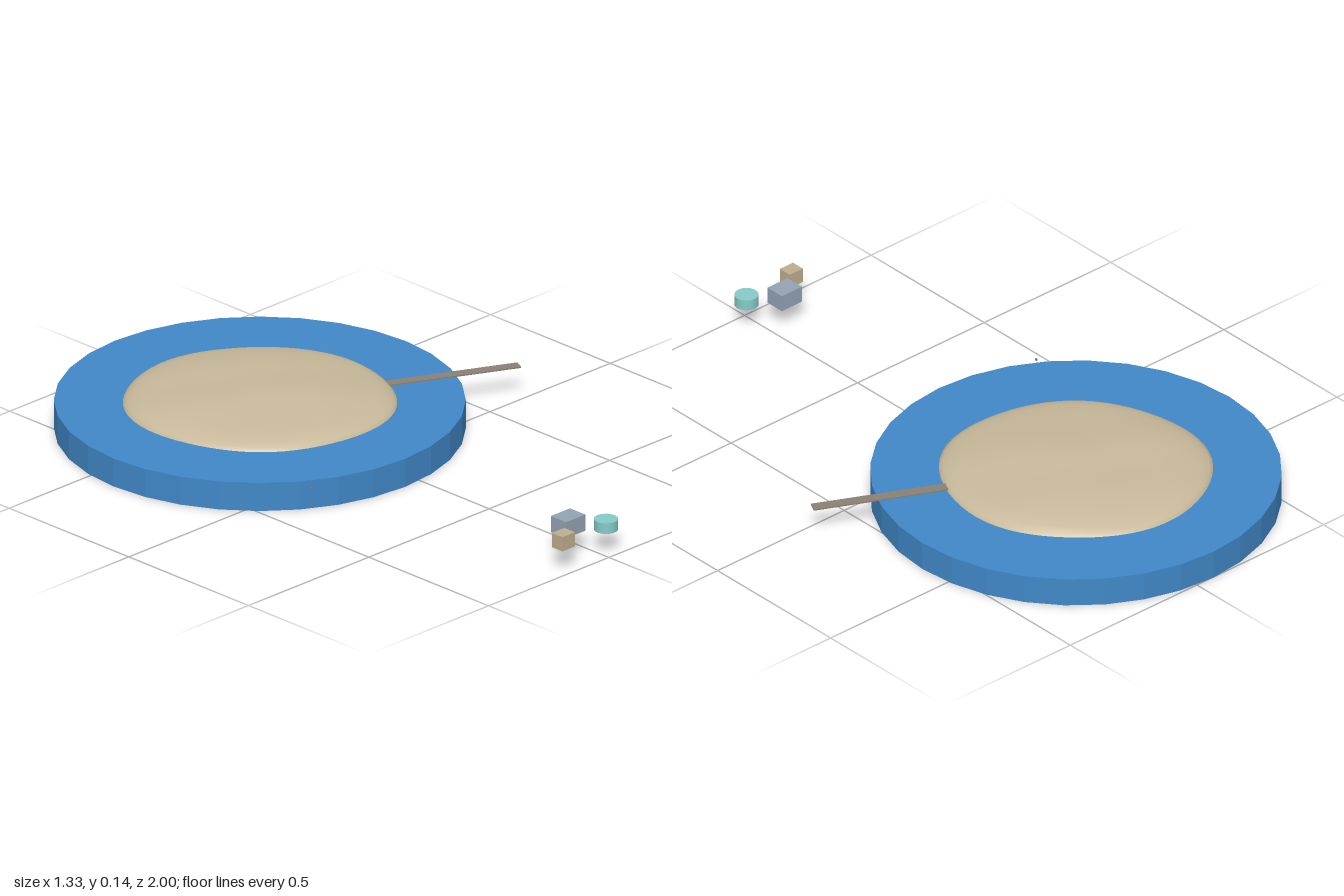
import * as THREE from 'three';
import { mergeVertices } from 'three/addons/utils/BufferGeometryUtils.js';

const CX = -0.063, CZ = -0.395, WATER_TOP = 0.09;

function material(name, color) {
  const m = new THREE.MeshStandardMaterial({ color });
  m.name = name;
  return m;
}

// Low sandy dome: a turned profile with an uneven outline and gentle dunes
function islandGeometry() {
  const profile = [
    [1, -0.008], [1, 0], [0.97, 0.009], [0.92, 0.018], [0.84, 0.026], [0.72, 0.033],
    [0.58, 0.039], [0.44, 0.043], [0.3, 0.046], [0.15, 0.049], [0, 0.05],
  ].map(([r, y]) => new THREE.Vector2(r, y));
  let g = new THREE.LatheGeometry(profile, 64);
  const p = g.attributes.position;
  for (let i = 0; i < p.count; i++) {
    const x = p.getX(i), y = p.getY(i), z = p.getZ(i);
    const a = Math.atan2(z, x);
    const r = 0.391 + 0.013 * Math.cos(2 * (a - 0.8)) + 0.004 * Math.cos(5 * a + 1);
    const dune = y > 0 ? y * (0.06 * Math.sin(5 * x + 3 * z) + 0.05 * Math.sin(7 * z - 4 * x)) : 0;
    p.setXYZ(i, x * r, y + dune, z * r);
  }
  g.deleteAttribute('uv');
  g.deleteAttribute('normal');
  g = mergeVertices(g, 1e-5);
  g.computeVertexNormals();
  return g;
}

export function createModel() {
  const model = new THREE.Group();
  const water = material('water blue', 0x4088c8);
  water.flatShading = true;
  const sand = material('sand', 0xc8b99a);
  const wood = material('weathered wood', 0x8b8072);
  const crateTan = material('crate tan', 0xbfae8f);
  const slate = material('slate blue', 0x94a3b3);
  const teal = material('pale teal', 0x86cbc9);

  const add = (name, geometry, mat, x, y, z) => {
    const mesh = new THREE.Mesh(geometry, mat);
    mesh.name = name;
    mesh.position.set(x, y, z);
    model.add(mesh);
    return mesh;
  };

  // Water disc and island
  add('waterDisc', new THREE.CylinderGeometry(0.607, 0.607, WATER_TOP, 32), water, CX, WATER_TOP / 2, CZ);
  add('island', islandGeometry(), sand, CX, WATER_TOP, CZ);

  // Thin pier from the shore out past the rim
  const start = new THREE.Vector2(0.26, -0.225), end = new THREE.Vector2(0.655, -0.033);
  const pier = add('pier', new THREE.BoxGeometry(start.distanceTo(end), 0.004, 0.034), wood,
    (start.x + end.x) / 2, 0.0915, (start.y + end.y) / 2);
  pier.rotation.y = -Math.atan2(end.y - start.y, end.x - start.x);

  // Separate props in front of the island
  add('smallCrate', new THREE.BoxGeometry(0.052, 0.046, 0.044), crateTan, -0.152, 0.093, 0.963);
  add('largeCrate', new THREE.BoxGeometry(0.08, 0.052, 0.064), slate, -0.063, 0.096, 0.893);
  add('drum', new THREE.CylinderGeometry(0.036, 0.036, 0.034, 16), teal, 0.028, 0.087, 0.96);

  // Tiny pebble beside the rim
  add('pebble', new THREE.BoxGeometry(0.006, 0.006, 0.006), wood, -0.395, 0.079, 0.152);
  return model;
}
